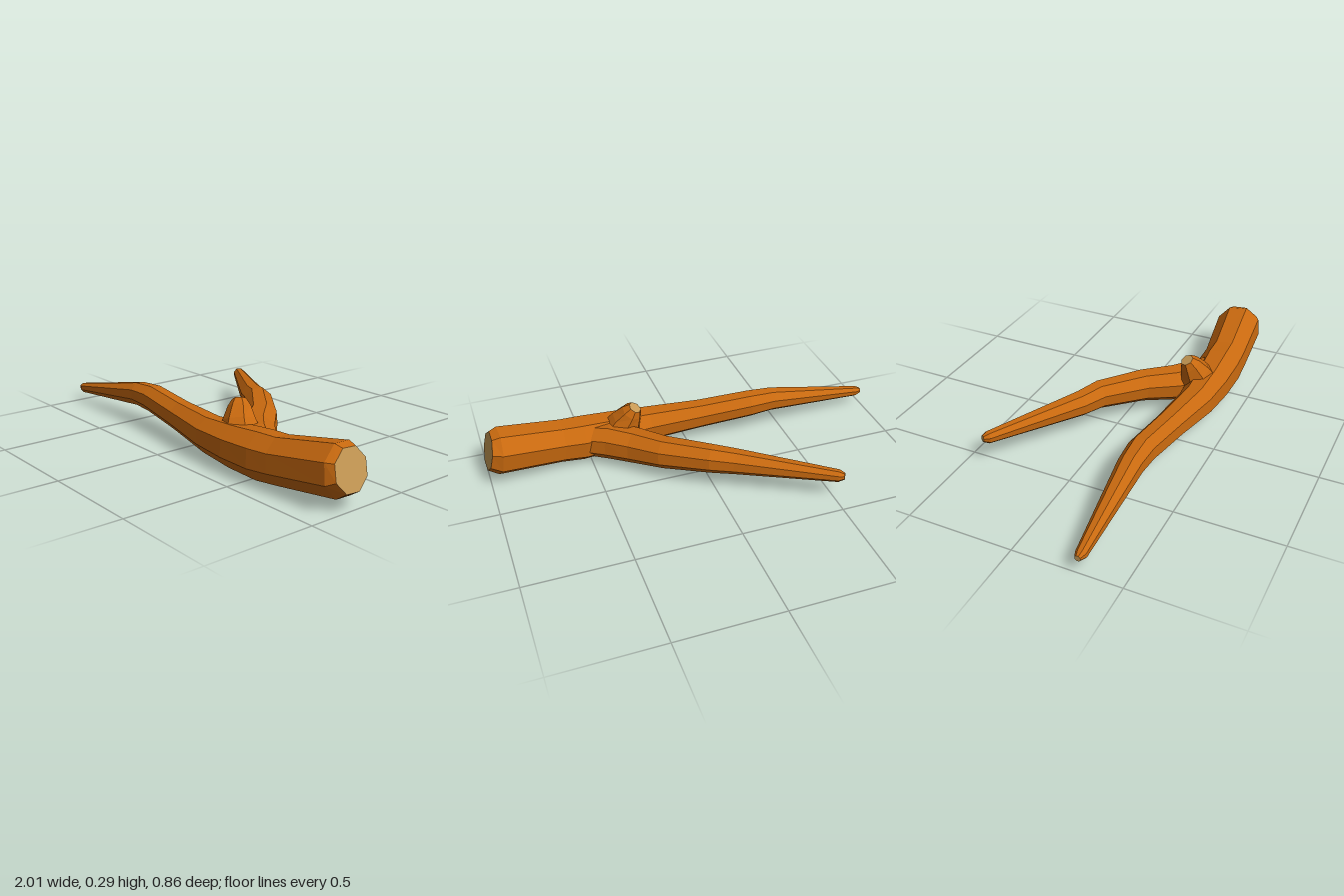
import * as THREE from 'three';

const bark = new THREE.MeshStandardMaterial({ color: 0xc8690f, flatShading: true });
const cutWood = new THREE.MeshStandardMaterial({ color: 0xc89a55, flatShading: true });

// Rings of points along a path of [x, y, z, radius]; each ring faces along the path.
function makeRings(path, sides, twist) {
  const centres = path.map(p => new THREE.Vector3(p[0], p[1], p[2]));
  const last = path.length - 1;
  return path.map((p, i) => {
    const dir = centres[Math.min(i + 1, last)].clone().sub(centres[Math.max(i - 1, 0)]).normalize();
    const ref = Math.abs(dir.y) > 0.75 ? new THREE.Vector3(1, 0, 0) : new THREE.Vector3(0, 1, 0);
    const u = new THREE.Vector3().crossVectors(ref, dir).normalize();
    const v = new THREE.Vector3().crossVectors(dir, u);
    return Array.from({ length: sides }, (_, k) => {
      const a = twist + (k / sides) * Math.PI * 2;
      return centres[i].clone()
        .addScaledVector(u, Math.cos(a) * p[3])
        .addScaledVector(v, Math.sin(a) * p[3]);
    });
  });
}

function makeMesh(name, triangles, material) {
  const geometry = new THREE.BufferGeometry().setFromPoints(triangles);
  geometry.computeVertexNormals();
  const mesh = new THREE.Mesh(geometry, material);
  mesh.name = name;
  return mesh;
}

// A faceted limb: bark skin plus a flat cut face at each end.
function makeLimb(name, path, sides = 8, twist = 0.31) {
  const rings = makeRings(path, sides, twist);
  const skin = [];
  for (let i = 0; i < rings.length - 1; i++) {
    for (let k = 0; k < sides; k++) {
      const n = (k + 1) % sides;
      const a = rings[i][k], b = rings[i][n], c = rings[i + 1][n], d = rings[i + 1][k];
      skin.push(a, b, c, a, c, d);
    }
  }
  const cuts = [];
  const first = rings[0], end = rings[rings.length - 1];
  for (let k = 1; k < sides - 1; k++) {
    cuts.push(first[0], first[k + 1], first[k], end[0], end[k], end[k + 1]);
  }
  const limb = new THREE.Group();
  limb.name = name;
  limb.add(makeMesh(name + 'Bark', skin, bark), makeMesh(name + 'CutEnds', cuts, cutWood));
  return limb;
}

export function createModel() {
  const model = new THREE.Group();
  model.name = 'fallenBranch';

  // Main stem, from the thin tip to the thick sawn end
  model.add(makeLimb('mainStem', [
    [-0.998, 0.079, 0.303, 0.014],
    [-0.97, 0.079, 0.304, 0.026],
    [-0.46, 0.153, 0.28, 0.06],
    [-0.34, 0.153, 0.278, 0.068],
    [-0.08, 0.132, 0.304, 0.073],
    [0.18, 0.115, 0.332, 0.088],
    [0.36, 0.111, 0.332, 0.102],
    [0.53, 0.113, 0.324, 0.112],
    [0.64, 0.121, 0.321, 0.108],
    [0.945, 0.16, 0.288, 0.118],
    [0.988, 0.17, 0.286, 0.096],
  ]));

  // Side branch, sweeping back from the fork
  model.add(makeLimb('sideBranch', [
    [0.5, 0.11, 0.31, 0.085],
    [0.40, 0.115, 0.25, 0.092],
    [0.30, 0.118, 0.165, 0.088],
    [0.19, 0.132, 0.045, 0.079],
    [0.0, 0.147, -0.1, 0.069],
    [-0.1, 0.14, -0.15, 0.062],
    [-0.515, 0.13, -0.404, 0.03],
    [-0.538, 0.132, -0.419, 0.016],
  ]));

  // Short broken knot on top of the fork
  model.add(makeLimb('knot', [
    [0.34, 0.12, 0.29, 0.11],
    [0.31, 0.205, 0.275, 0.075],
    [0.286, 0.255, 0.255, 0.052],
    [0.272, 0.282, 0.244, 0.032],
  ], 7, 0.2));

  return model;
}
